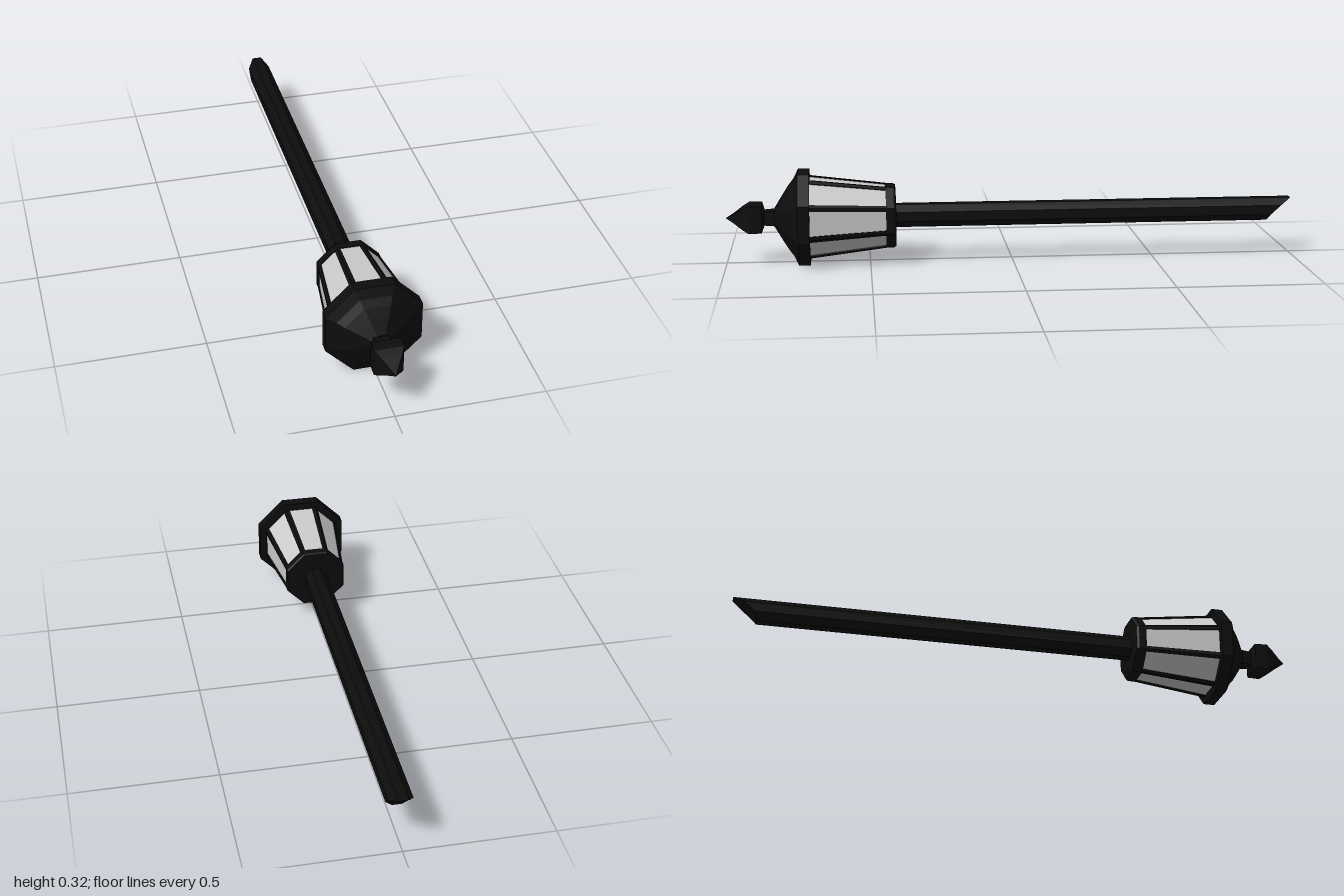
import * as THREE from 'three';

const iron = new THREE.MeshStandardMaterial({ color: 0x0d0d0d, flatShading: true });
const glass = new THREE.MeshStandardMaterial({ color: 0xcccccc, flatShading: true });

// Faceted turned part; profile is [apothem, height] pairs, flats face the axes
function turned(name, profile, sides, material = iron) {
  const k = 1 / Math.cos(Math.PI / sides);
  const points = profile.map(([a, y]) => new THREE.Vector2(a * k, y));
  const mesh = new THREE.Mesh(new THREE.LatheGeometry(points, sides, Math.PI / sides), material);
  mesh.name = name;
  return mesh;
}

// Side walls between two cross-sections with equal point counts
function loft(lower, upper) {
  const n = lower.length, index = [];
  for (let i = 0; i < n; i++) {
    const j = (i + 1) % n;
    index.push(i, j, n + i, j, n + j, n + i);
  }
  const geometry = new THREE.BufferGeometry();
  geometry.setAttribute('position', new THREE.Float32BufferAttribute([...lower, ...upper].flat(), 3));
  geometry.setIndex(index);
  geometry.computeVertexNormals();
  return geometry;
}

// Kite section of a corner post: prev side, corner, next side, inside
function postSection(apothem, width, y) {
  const corner = apothem / Math.cos(Math.PI / 8);
  const s = Math.sin(Math.PI / 8) * width, c = Math.cos(Math.PI / 8) * width;
  return [[-c, y, corner - s], [0, y, corner], [c, y, corner - s], [0, y, corner - 0.03]];
}

// Pole with a curved scoop cut at its foot
function pole() {
  const r = 0.04, geometry = new THREE.CylinderGeometry(
    r / Math.cos(Math.PI / 8), r / Math.cos(Math.PI / 8), 1.42, 8, 1, false, Math.PI / 8);
  geometry.translate(0, -0.29, 0);
  const p = geometry.attributes.position;
  for (let i = 0; i < p.count; i++) {
    if (p.getY(i) > -0.9) continue;
    const t = THREE.MathUtils.clamp((r + p.getZ(i)) / (2 * r), 0, 1);
    p.setY(i, -1 + 0.085 * (1 - Math.pow(1 - t, 1.7)));
  }
  geometry.computeVertexNormals();
  const mesh = new THREE.Mesh(geometry, iron);
  mesh.name = 'pole';
  return mesh;
}

export function createModel() {
  const model = new THREE.Group();
  model.name = 'lampPost';

  // Built upright along y, then laid down with the finial toward +z
  const lamp = new THREE.Group();
  lamp.name = 'lamp';
  lamp.rotation.x = Math.PI / 2;
  lamp.position.y = 0.16;
  model.add(lamp);

  lamp.add(
    pole(),
    turned('collar', [[0, 0.41], [0.102, 0.41], [0.107, 0.418], [0.107, 0.445], [0, 0.445]], 8),
    turned('glassPanes', [[0.103, 0.44], [0.134, 0.712]], 8, glass),
    turned('roof', [[0, 0.708], [0.16, 0.708], [0.16, 0.748], [0.128, 0.764],
      [0.105, 0.783], [0.075, 0.803], [0.03, 0.832], [0, 0.832]], 8),
    turned('finial', [[0.027, 0.825], [0.024, 0.866], [0.047, 0.875], [0.048, 0.92],
      [0.036, 0.942], [0.016, 0.972], [0, 1]], 4)
  );

  // Corner posts between the panes
  const posts = new THREE.Group();
  posts.name = 'cornerPosts';
  const postGeometry = loft(postSection(0.107, 0.011, 0.44), postSection(0.138, 0.013, 0.712));
  for (let i = 0; i < 8; i++) {
    const post = new THREE.Mesh(postGeometry, iron);
    post.name = 'cornerPost';
    post.rotation.y = (i + 0.5) * Math.PI / 4;
    posts.add(post);
  }
  lamp.add(posts);
  return model;
}
